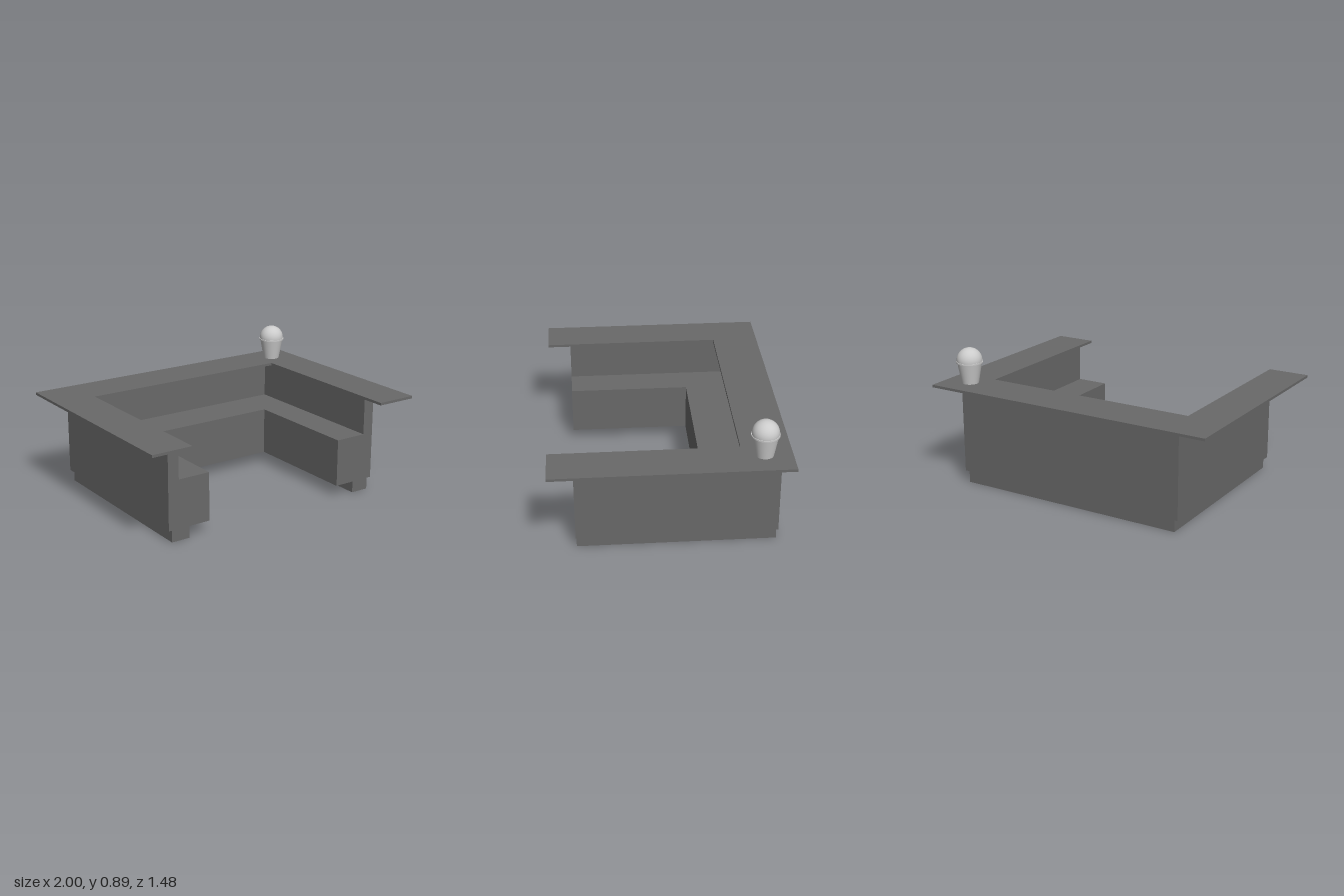
import * as THREE from 'three';

const counterMat = new THREE.MeshStandardMaterial({ color: 0x696969 });
const cupMat = new THREE.MeshStandardMaterial({ color: 0xcccccc });

// U-shaped slab, open towards +z, from height y0 to y1
function uSlab(name, { outer, inner, back, innerBack, front, y0, y1 }) {
  const outline = [
    [-outer, front], [-inner, front], [-inner, innerBack], [inner, innerBack],
    [inner, front], [outer, front], [outer, back], [-outer, back],
  ];
  const shape = new THREE.Shape(outline.map(([x, z]) => new THREE.Vector2(x, -z)));
  const geo = new THREE.ExtrudeGeometry(shape, { depth: y1 - y0, bevelEnabled: false });
  geo.rotateX(-Math.PI / 2);
  geo.translate(0, y0, 0);
  const mesh = new THREE.Mesh(geo, counterMat);
  mesh.name = name;
  return mesh;
}

function part(name, geo, y) {
  const mesh = new THREE.Mesh(geo, cupMat);
  mesh.name = name;
  mesh.position.y = y;
  return mesh;
}

export function createModel() {
  const model = new THREE.Group();
  model.name = 'servingCounter';

  // Counter: recessed plinth, deep cabinet with inner shelf, thin wall, worktop
  model.add(
    uSlab('plinth', { outer: 0.775, inner: 0.65, back: -0.675, innerBack: -0.45, front: 0.58, y0: 0, y1: 0.08 }),
    uSlab('cabinet', { outer: 0.8, inner: 0.507, back: -0.683, innerBack: -0.22, front: 0.585, y0: 0.08, y1: 0.398 }),
    uSlab('wall', { outer: 0.8, inner: 0.725, back: -0.683, innerBack: -0.51, front: 0.585, y0: 0.398, y1: 0.638 }),
    uSlab('worktop', { outer: 1, inner: 0.725, back: -0.74, innerBack: -0.433, front: 0.74, y0: 0.638, y1: 0.655 }),
  );

  // Tapered cup with a rim and a round scoop on the back corner
  const cup = new THREE.Group();
  cup.name = 'cupWithScoop';
  cup.position.set(0.823, 0.655, -0.567);
  cup.add(
    part('cup', new THREE.CylinderGeometry(0.081, 0.056, 0.137, 32), 0.0685),
    part('rim', new THREE.CylinderGeometry(0.088, 0.088, 0.009, 32), 0.141),
    part('scoop', new THREE.SphereGeometry(0.084, 32, 16, 0, Math.PI * 2, 0, Math.PI * 0.56), 0.152),
  );
  model.add(cup);
  return model;
}
